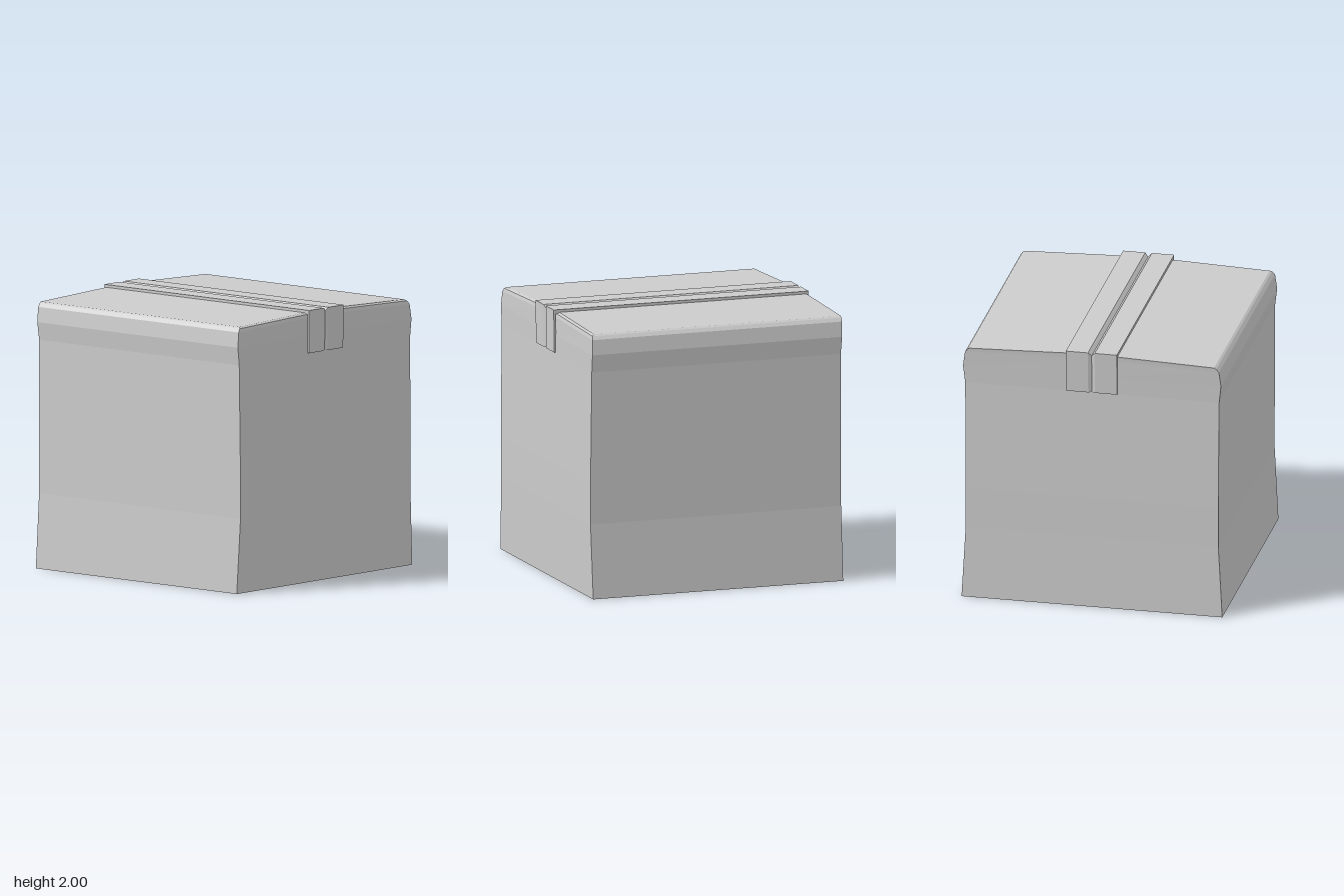
import * as THREE from 'three';

const material = new THREE.MeshStandardMaterial({ color: 0xcccccc, flatShading: true, side: THREE.DoubleSide });

// Collects quads between consecutive rows of points
function skin(rows, closed, name) {
  const pos = [], index = [], n = rows[0].length;
  rows.forEach(row => row.forEach(p => pos.push(...p)));
  for (let r = 0; r < rows.length - 1; r++) {
    for (let i = 0; i < (closed ? n : n - 1); i++) {
      const j = (i + 1) % n;
      const a = r * n + i, b = r * n + j, c = a + n, d = b + n;
      index.push(a, b, d, a, d, c);
    }
  }
  const geometry = new THREE.BufferGeometry();
  geometry.setAttribute('position', new THREE.Float32BufferAttribute(pos, 3));
  geometry.setIndex(index);
  const flat = geometry.toNonIndexed();
  flat.computeVertexNormals();
  const mesh = new THREE.Mesh(flat, material);
  mesh.name = name;
  return mesh;
}

export function createModel() {
  const model = new THREE.Group();
  model.name = 'cardboardBox';

  // Wall rings: height, half width, front z, back z, rise towards the middle seam
  const rings = [
    [0, 0.97, 0.97, -0.97, 0],
    [0.55, 0.94, 0.98, -0.965, 0],
    [0.85, 0.94, 0.98, -0.965, 0],
    [1.68, 0.945, 0.972, -0.96, 0],
    [1.81, 0.96, 0.972, -0.965, 0],
    [1.92, 0.945, 0.967, -0.97, 0.027],
    [1.945, 0.925, 0.96, -0.972, 0.027],
    [1.955, 0.91, 0.943, -0.974, 0.03],
  ];
  const seam = 0.025;
  const edge = ([y, w, , , rise], z) => [
    [-w, y, z], [-seam, y + rise, z], [0, y + rise * 0.4, z], [seam, y + rise, z], [w, y, z],
  ];
  const front = ring => edge(ring, ring[2]);
  const back = ring => edge(ring, ring[3]);

  model.add(skin(rings.map(r => [...front(r), ...back(r).reverse()]), true, 'walls'));

  // Lid rises gently to the seam; base is flat
  const top = rings[rings.length - 1];
  model.add(skin([front(top), back(top)], false, 'lid'));
  model.add(skin([back(rings[0]), front(rings[0])], false, 'base'));

  // Tape: a creased strip folded over the lid, sunk edges giving it thickness
  const section = [[-0.19, 0.03], [-0.19, 0], [-seam, 0], [0, 0.026], [seam, 0], [0.19, 0], [0.19, 0.03]];
  // Path stations: y, z, and the inward direction in y and z
  const path = [
    [1.685, 0.96, 0, 0],
    [1.685, 0.985, 0, -0.5],
    [2, 0.988, -1, -0.5],
    [2, -0.99, -1, 0.5],
    [1.685, -0.978, 0, 0.5],
    [1.685, -0.95, 0, 0],
  ];
  model.add(skin(path.map(([y, z, dy, dz]) =>
    section.map(([x, d]) => [x, y + dy * d, z + dz * d])), false, 'tape'));

  return model;
}
